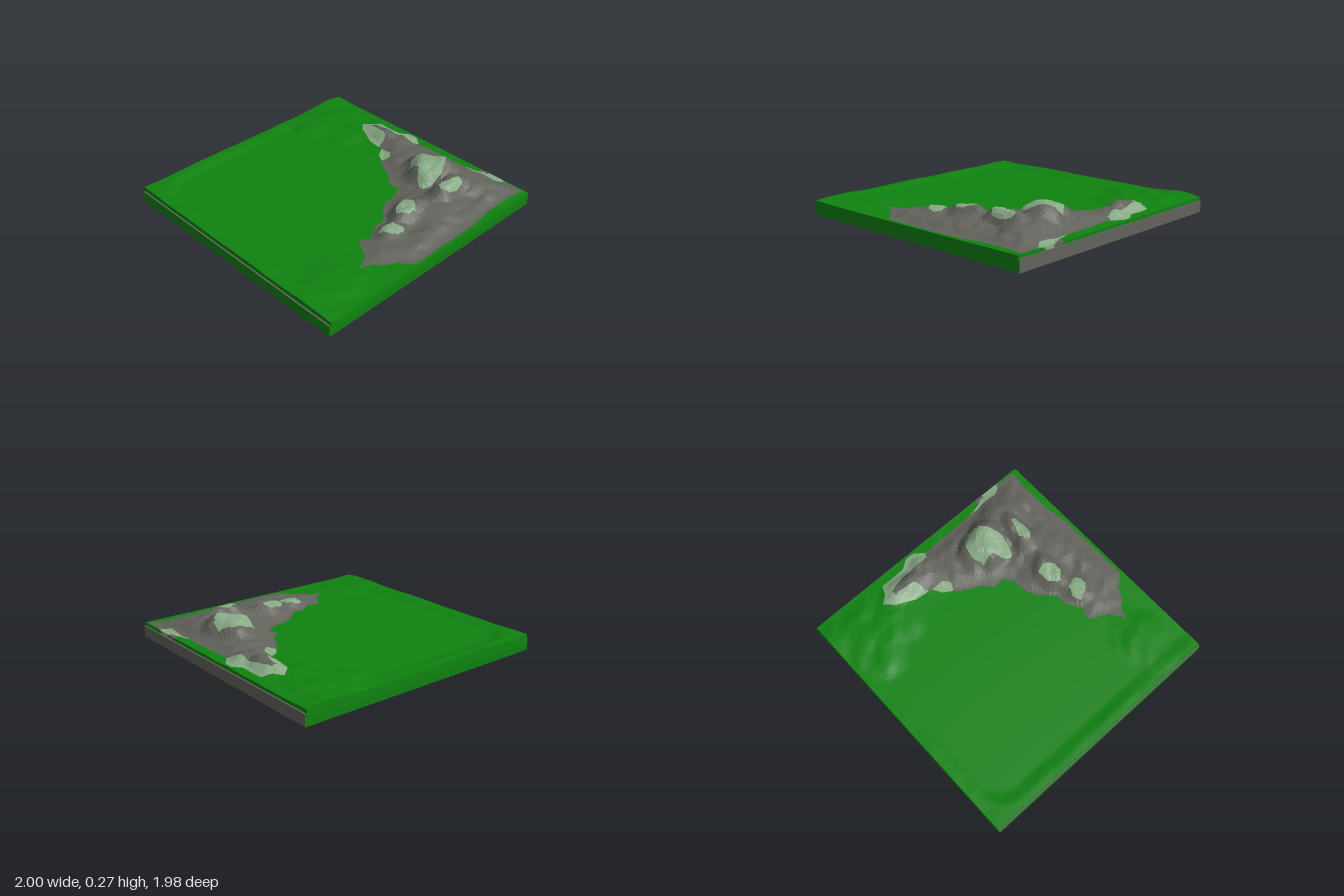
import * as THREE from 'three';

const grass = new THREE.MeshStandardMaterial({ name: 'grass green', color: 0x0f8210, flatShading: true });
const rock = new THREE.MeshStandardMaterial({ name: 'rock grey', color: 0x62635c, flatShading: true });
const moss = new THREE.MeshStandardMaterial({ name: 'pale moss', color: 0x88aa86, flatShading: true });

// Outlines in x, z
const rockOutline = [
  [-.5, .74], [-.38, .68], [-.3, .53], [-.2, .56], [-.1, .49], [0, .49], [.07, .42], [.1, .39], [.16, .35],
  [.3, .33], [.36, .28], [.35, .2], [.43, .13], [.48, .02], [.55, -.07], [.65, -.15], [.67, -.3], [.73, -.45],
  [.8, -.51], [.85, -.45], [.92, -.42], [.92, -.22], [.97, -.15], [.97, -.08], [.91, 0], [.92, .4], [.94, .55],
  [1, .58], [1, .73], [.975, .78], [.975, .95], [.85, .93], [.6, .93], [.4, .96], [-.2, .965], [-.28, .87],
  [-.37, .82], [-.4, .77],
];
const mossOutlines = [
  [[.67, -.3], [.73, -.45], [.8, -.51], [.85, -.45], [.92, -.42], [.92, -.22], [.97, -.15], [.97, -.08], [.91, 0],
    [.86, -.06], [.86, -.25], [.83, -.38], [.79, -.4], [.77, -.28], [.76, -.22], [.66, -.19]],
  [[.54, -.05], [.58, -.12], [.65, -.16], [.65, -.07], [.6, -.02]],
  [[.43, .45], [.46, .38], [.53, .33], [.52, .25], [.6, .2], [.7, .22], [.77, .32], [.77, .38], [.7, .44], [.6, .49], [.5, .48]],
  [[.43, .62], [.5, .57], [.56, .6], [.64, .62], [.63, .66], [.55, .68], [.47, .67]],
  [[.04, .56], [.1, .5], [.2, .49], [.22, .56], [.18, .62], [.1, .63]],
  [[-.17, .59], [-.1, .56], [-.03, .6], [0, .67], [-.04, .71], [-.12, .68]],
  [[.91, .42], [.94, .55], [1, .68], [.975, .8], [.92, .72], [.93, .6]],
];
const outlines = [rockOutline, ...mossOutlines];

// Hills: x, z, height, radius x, radius z
const hills = [
  [.63, .34, .115, .22, .23], [.54, .61, .085, .2, .12], [.15, .56, .06, .19, .13], [-.09, .63, .025, .15, .12],
  [.8, -.34, .03, .13, .2], [.88, -.08, .012, .1, .15], [.72, .6, .045, .2, .3], [.35, .68, .03, .3, .2],
  [.55, -.77, .025, .28, .22], [.62, -.5, .02, .2, .2], [.8, -.75, .012, .25, .3], [-.7, .72, .016, .32, .25],
];

const smooth = THREE.MathUtils.smoothstep;

function inside(poly, x, z) {
  let hit = false;
  poly.forEach(([ax, az], i) => {
    const [bx, bz] = poly[(i + 1) % poly.length];
    if (az > z !== bz > z && x < ax + (bx - ax) * (z - az) / (bz - az)) hit = !hit;
  });
  return hit;
}

// Closest point on an outline
function nearest(poly, x, z) {
  let best = { d: Infinity, x, z };
  poly.forEach(([ax, az], i) => {
    const [bx, bz] = poly[(i + 1) % poly.length];
    const dx = bx - ax, dz = bz - az;
    const t = THREE.MathUtils.clamp(((x - ax) * dx + (z - az) * dz) / (dx * dx + dz * dz), 0, 1);
    const px = ax + dx * t, pz = az + dz * t, d = Math.hypot(x - px, z - pz);
    if (d < best.d) best = { d, x: px, z: pz };
  });
  return best;
}

// Faceted noise: straight-line blend over a triangle lattice
function hash(i, j) {
  const s = Math.sin(i * 127.1 + j * 311.7) * 43758.5453;
  return (s - Math.floor(s)) * 2 - 1;
}
function facets(x, z, size) {
  const u = x / size, v = z / size, i = Math.floor(u), j = Math.floor(v), fx = u - i, fz = v - j;
  const a = hash(i, j), d = hash(i + 1, j + 1);
  return fx > fz
    ? a + (hash(i + 1, j) - a) * fx + (d - hash(i + 1, j)) * fz
    : a + (hash(i, j + 1) - a) * fz + (d - hash(i, j + 1)) * fx;
}

function heightAt(x, z) {
  const left = 1 + x, back = 1 + z, front = 1 - z;
  let y = .101;
  // raised rim along the left and back edges, rounded at their corner
  const corner = Math.max(0, .3 - left) ** 2 + Math.max(0, .3 - back) ** 2;
  const rim = smooth(Math.sqrt(corner), .14, .25) * (1 - .35 * smooth(x, 0, .5));
  y += rim * (.017 + .005 * facets(x, z, .17));
  // rough ground near the right edge
  y += smooth(x, .5, .85) * (.012 + .006 * facets(x + 3, z, .11));
  for (const [hx, hz, h, rx, rz] of hills) {
    const wx = x + .025 * facets(x + 7, z, .1), wz = z + .025 * facets(x, z + 9, .1);
    const r = Math.hypot((wx - hx) / rx, (wz - hz) / rz);
    const bump = 1 - smooth(r, .3, 1);
    y += h * bump + (h < .03 ? .006 * bump * facets(x, z, .09) : 0);
  }
  if (inside(rockOutline, x, z)) {
    const k = smooth(nearest(rockOutline, x, z).d, 0, .12);
    y += k * (.03 + .011 * facets(x + z * .4, z * 1.5, .12) + .006 * facets(x + 5, z, .06));
  }
  // ease down to the tile edges
  const edge = Math.min(front, 1 - x);
  return Math.min(THREE.MathUtils.lerp(.106, y, .3 + .7 * smooth(edge, 0, .14)), .27);
}

function makeTerrain() {
  const N = 84, half = .988, points = [], cells = [[], [], []];
  // the outermost ring of points hangs down as a skirt
  for (let j = -1; j <= N + 1; j++) {
    for (let i = -1; i <= N + 1; i++) {
      const ci = THREE.MathUtils.clamp(i, 0, N), cj = THREE.MathUtils.clamp(j, 0, N);
      let x = (ci / N * 2 - 1) * half, z = (cj / N * 2 - 1) * half;
      const y = heightAt(x, z);
      if (ci > 0 && ci < N && cj > 0 && cj < N) {
        // pull points onto nearby colour borders
        let best = { d: 1.1 * half / N, x, z };
        for (const poly of outlines) {
          const p = nearest(poly, x, z);
          if (p.d < best.d && Math.max(Math.abs(p.x), Math.abs(p.z)) < half) best = p;
        }
        x = best.x;
        z = best.z;
        points.push([x, heightAt(x, z), z]);
      } else if (j !== cj) points.push([x, .055, z + Math.sign(j) * .004]);
      else if (i !== ci) points.push([x, .08, z]);
      else points.push([x, y, z]);
    }
  }
  const W = N + 3;
  const addFace = (...ids) => {
    const [x, , z] = [0, 1, 2].map(k => ids.reduce((s, id) => s + points[id][k] / 3, 0));
    const kind = mossOutlines.some(p => inside(p, x, z)) ? 2 : inside(rockOutline, x, z) ? 1 : 0;
    ids.forEach(id => cells[kind].push(...points[id]));
  };
  for (let j = 0; j < W - 1; j++) {
    for (let i = 0; i < W - 1; i++) {
      const a = j * W + i, b = a + 1, c = a + W, d = c + 1;
      if ((i + j) % 2) { addFace(a, c, b); addFace(b, c, d); }
      else { addFace(a, c, d); addFace(a, d, b); }
    }
  }
  const group = new THREE.Group();
  group.name = 'terrain';
  [['grassland', grass], ['rockyRidge', rock], ['mossPatches', moss]].forEach(([name, material], k) => {
    const geometry = new THREE.BufferGeometry();
    geometry.setAttribute('position', new THREE.Float32BufferAttribute(cells[k], 3));
    geometry.computeVertexNormals();
    const mesh = new THREE.Mesh(geometry, material);
    mesh.name = name;
    group.add(mesh);
  });
  return group;
}

export function createModel() {
  const model = new THREE.Group();
  model.name = 'terrainTile';

  // Slab: green sides, grey right side, top ledge and underside
  const slab = new THREE.Mesh(new THREE.BoxGeometry(2, .085, 1.97), [rock, grass, rock, rock, grass, grass]);
  slab.name = 'baseSlab';
  slab.position.y = .0425;

  model.add(slab, makeTerrain());
  return model;
}
